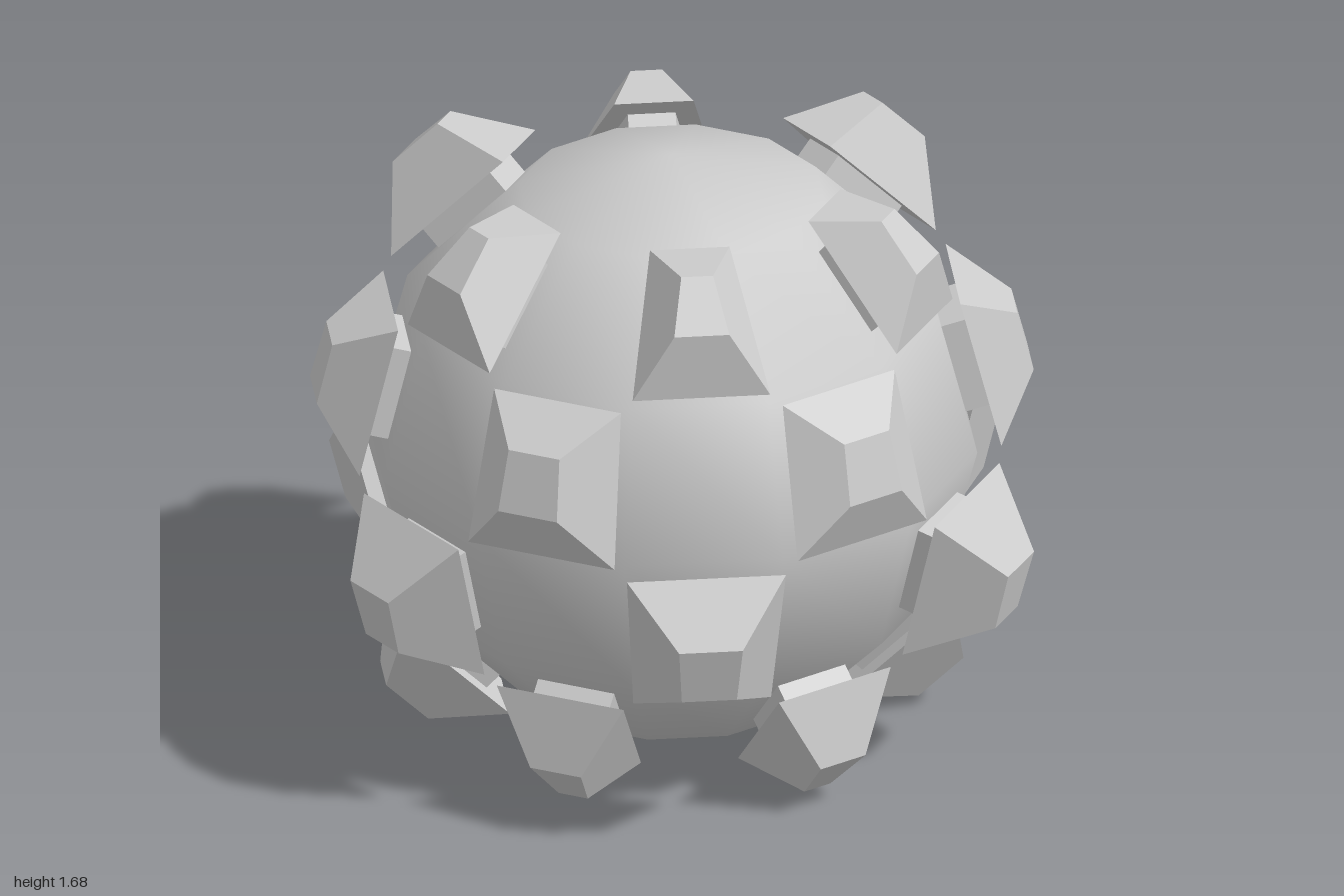
import * as THREE from 'three';

const R = 0.84, GAP = 0.068, STEP = Math.PI / 6;
const material = new THREE.MeshStandardMaterial({ color: 0xcccccc });
const flatMaterial = new THREE.MeshStandardMaterial({ color: 0xcccccc, flatShading: true });

// Point on the ball; longitude runs from +x towards +z
function onBall(lat, lon, r = R) {
  return new THREE.Vector3(
    r * Math.cos(lat) * Math.cos(lon), r * Math.sin(lat), r * Math.cos(lat) * Math.sin(lon));
}

// Flat-sided loft through four-cornered rings, capped at the outer end
function loft(rings) {
  const pos = [];
  const quad = (a, b, c, d) => [a, b, c, a, c, d].forEach((p) => pos.push(p.x, p.y, p.z));
  for (let k = 0; k < rings.length - 1; k++) {
    for (let i = 0; i < 4; i++) {
      const j = (i + 1) % 4;
      quad(rings[k][i], rings[k][j], rings[k + 1][j], rings[k + 1][i]);
    }
  }
  quad(...rings[rings.length - 1]);
  const g = new THREE.BufferGeometry();
  g.setAttribute('position', new THREE.Float32BufferAttribute(pos, 3));
  g.computeVertexNormals();
  return g;
}

// Stud over one ball patch: neck, overhanging base, tapered block
function stud(lat, lon, height) {
  const h = STEP / 2;
  const corners = [
    onBall(lat - h, lon + h), onBall(lat - h, lon - h),
    onBall(lat + h, lon - h), onBall(lat + h, lon + h)];
  const centre = new THREE.Vector3();
  corners.forEach((c) => centre.addScaledVector(c, 0.25));
  const out = onBall(lat, lon, 1);
  const ring = (scale, offset) => corners.map((c) =>
    c.clone().sub(centre).multiplyScalar(scale).add(centre).addScaledVector(out, offset));
  return new THREE.Mesh(
    loft([ring(0.6, -0.03), ring(0.6, GAP), ring(1, GAP), ring(0.4, GAP + height)]), flatMaterial);
}

// Staggered rows, six studs each, with slightly varied heights
const rows = [
  { name: 'topStud', lat: 45, lon: 15, heights: [0.14, 0.14, 0.15, 0.19, 0.14, 0.19] },
  { name: 'upperStud', lat: 15, lon: 45, heights: [0.1, 0.13, 0.14, 0.11, 0.165, 0.14] },
  { name: 'lowerStud', lat: -15, lon: 15, heights: [0.2, 0.155, 0.18, 0.14, 0.13, 0.2] },
  { name: 'bottomStud', lat: -45, lon: 45, heights: [0.18, 0.17, 0.18, 0.17, 0.18, 0.18] },
];

export function createModel() {
  const model = new THREE.Group();
  model.name = 'studdedBall';

  const ball = new THREE.Mesh(new THREE.SphereGeometry(R, 12, 6), material);
  ball.name = 'ball';
  model.add(ball);

  for (const row of rows) {
    row.heights.forEach((height, i) => {
      const lon = THREE.MathUtils.degToRad(row.lon + i * 60);
      const mesh = stud(THREE.MathUtils.degToRad(row.lat), lon, height);
      mesh.name = row.name + (i + 1);
      model.add(mesh);
    });
  }

  model.position.set(-0.035, R, 0);
  const root = new THREE.Group();
  root.name = 'model';
  root.add(model);
  return root;
}
